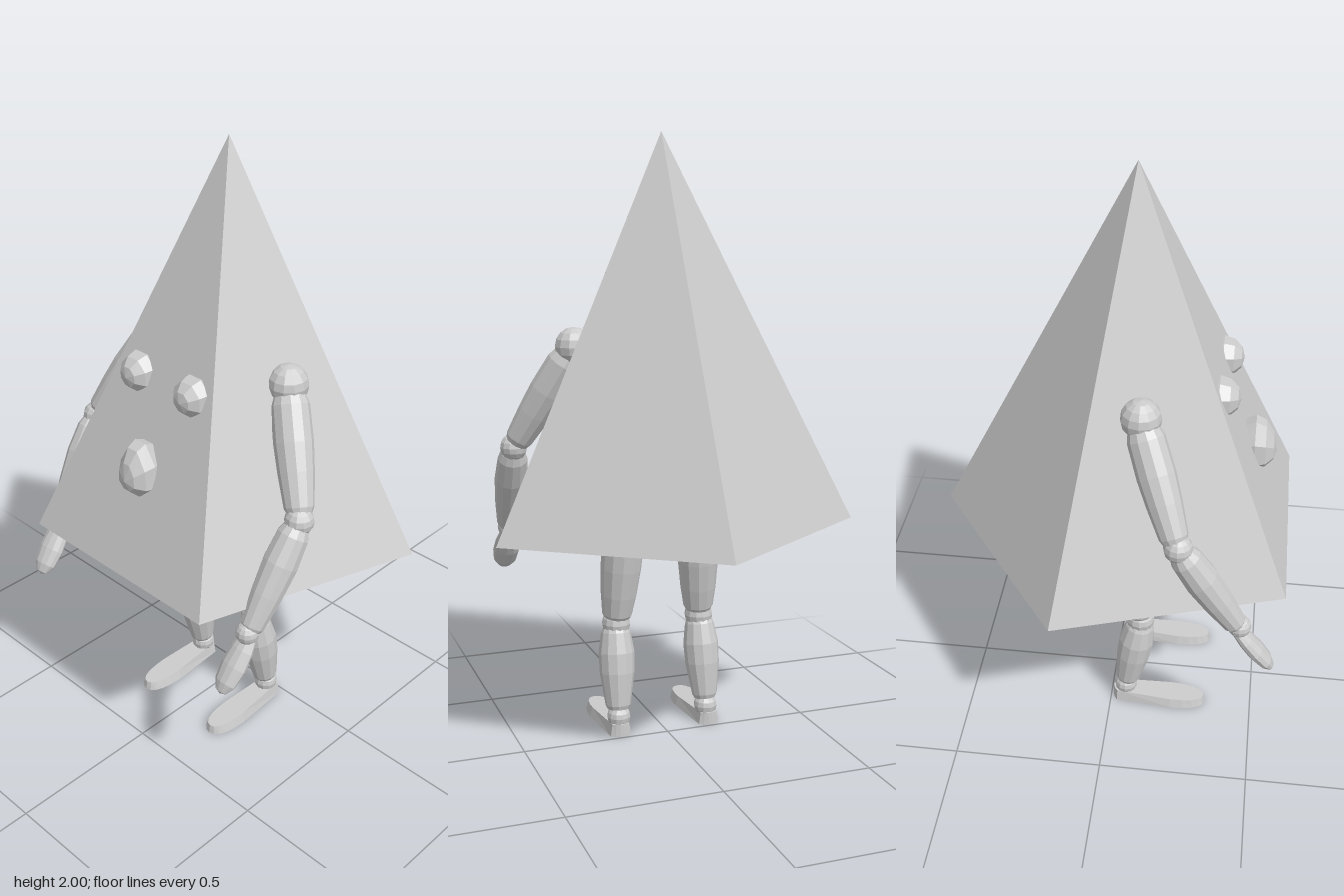
import * as THREE from 'three';

const material = new THREE.MeshStandardMaterial({ color: 0xcccccc, flatShading: true });
const UP = new THREE.Vector3(0, 1, 0);

function add(parent, name, geometry, position = [0, 0, 0]) {
  const mesh = new THREE.Mesh(geometry, material);
  mesh.name = name;
  mesh.position.set(...position);
  parent.add(mesh);
  return mesh;
}

// Tapered limb from a to b; profile holds [radius, fraction of length] pairs
function limb(parent, name, a, b, profile) {
  const start = new THREE.Vector3(...a);
  const dir = new THREE.Vector3(...b).sub(start);
  const points = profile.map(([r, t]) => new THREE.Vector2(r, t * dir.length()));
  const mesh = add(parent, name, new THREE.LatheGeometry(points, 12), a);
  mesh.quaternion.setFromUnitVectors(UP, dir.normalize());
  return mesh;
}

function joint(parent, name, position, radius) {
  return add(parent, name, new THREE.SphereGeometry(radius, 12, 8), position);
}

function buildArm(s) {
  const arm = new THREE.Group();
  arm.name = s > 0 ? 'leftArm' : 'rightArm';
  joint(arm, 'shoulder', [s * 0.285, 1.315, 0.105], 0.064);
  limb(arm, 'upperArm', [s * 0.3, 1.285, 0.115], [s * 0.452, 0.99, 0.23],
    [[0, 0], [0.05, 0], [0.059, 0.08], [0.061, 0.4], [0.056, 0.65], [0.046, 0.95], [0.038, 1], [0, 1]]);
  joint(arm, 'elbow', [s * 0.46, 0.973, 0.24], 0.046);
  limb(arm, 'forearm', [s * 0.46, 0.955, 0.25], [s * 0.443, 0.665, 0.43],
    [[0, 0], [0.04, 0], [0.05, 0.08], [0.056, 0.35], [0.05, 0.65], [0.038, 0.96], [0.03, 1], [0, 1]]);
  joint(arm, 'wrist', [s * 0.44, 0.657, 0.44], 0.037);
  // Flat mitten hand
  const hand = limb(arm, 'hand', [s * 0.44, 0.65, 0.425], [s * 0.432, 0.485, 0.552],
    [[0, 0], [0.03, 0.05], [0.042, 0.28], [0.047, 0.55], [0.04, 0.82], [0.022, 0.96], [0, 1]]);
  hand.scale.z = 0.6;
  return arm;
}

function buildLeg(s) {
  const leg = new THREE.Group();
  leg.name = s > 0 ? 'leftLeg' : 'rightLeg';
  joint(leg, 'hip', [s * 0.132, 0.7, 0.063], 0.066);
  limb(leg, 'thigh', [s * 0.134, 0.665, 0.067], [s * 0.148, 0.395, 0.098],
    [[0, 0], [0.062, 0], [0.071, 0.06], [0.069, 0.35], [0.061, 0.7], [0.051, 0.96], [0.045, 1], [0, 1]]);
  joint(leg, 'knee', [s * 0.15, 0.372, 0.1], 0.049);
  limb(leg, 'shin', [s * 0.152, 0.355, 0.1], [s * 0.158, 0.083, 0.056],
    [[0, 0], [0.044, 0], [0.05, 0.05], [0.061, 0.3], [0.059, 0.55], [0.043, 0.95], [0.036, 1], [0, 1]]);
  joint(leg, 'ankle', [s * 0.158, 0.058, 0.052], 0.04);

  // Flat sole outline, lowered towards the toe
  const sole = new THREE.Shape();
  sole.moveTo(-0.036, -0.025);
  sole.quadraticCurveTo(0, -0.055, 0.036, -0.025);
  sole.lineTo(0.051, 0.17);
  sole.quadraticCurveTo(0.05, 0.29, 0, 0.29);
  sole.quadraticCurveTo(-0.05, 0.29, -0.051, 0.17);
  sole.closePath();
  const geometry = new THREE.ExtrudeGeometry(sole, { depth: 0.04, bevelEnabled: false, curveSegments: 5 });
  geometry.rotateX(-Math.PI / 2).rotateY(Math.PI);
  const p = geometry.attributes.position;
  for (let i = 0; i < p.count; i++) {
    if (p.getY(i) > 0.01) {
      p.setXYZ(i, p.getX(i) * 0.82, 0.04 - p.getZ(i) * 0.04, p.getZ(i) * 0.98);
    }
  }
  geometry.computeVertexNormals();
  add(leg, 'foot', geometry, [s * 0.16, 0, 0.048]);
  return leg;
}

// Low-poly ball with its pole facing forwards
function faceBall(radius) {
  return new THREE.SphereGeometry(radius, 8, 6).rotateX(Math.PI / 2).rotateZ(Math.PI / 8);
}

export function createModel() {
  const model = new THREE.Group();
  model.name = 'pyramidFigure';

  // Five-sided body with a flat edge to the front
  const body = add(model, 'pyramidBody', new THREE.ConeGeometry(0.64, 1.27, 5), [0, 1.365, 0.06]);
  body.rotation.y = Math.PI;

  for (const s of [-1, 1]) {
    model.add(buildArm(s), buildLeg(s));
    add(model, s > 0 ? 'leftEye' : 'rightEye', faceBall(0.067), [s * 0.117, 1.297, 0.328]);
  }

  // Nose: ball drawn out into a narrow bridge at the top
  const nose = faceBall(0.073);
  const p = nose.attributes.position;
  for (let i = 0; i < p.count; i++) {
    const y = p.getY(i);
    if (y > 0) p.setXYZ(i, p.getX(i) * (1 - y * 3), y * 1.65, p.getZ(i) * (1 - y * 1.5));
  }
  nose.computeVertexNormals();
  add(model, 'nose', nose, [0, 1.033, 0.447]);
  return model;
}
